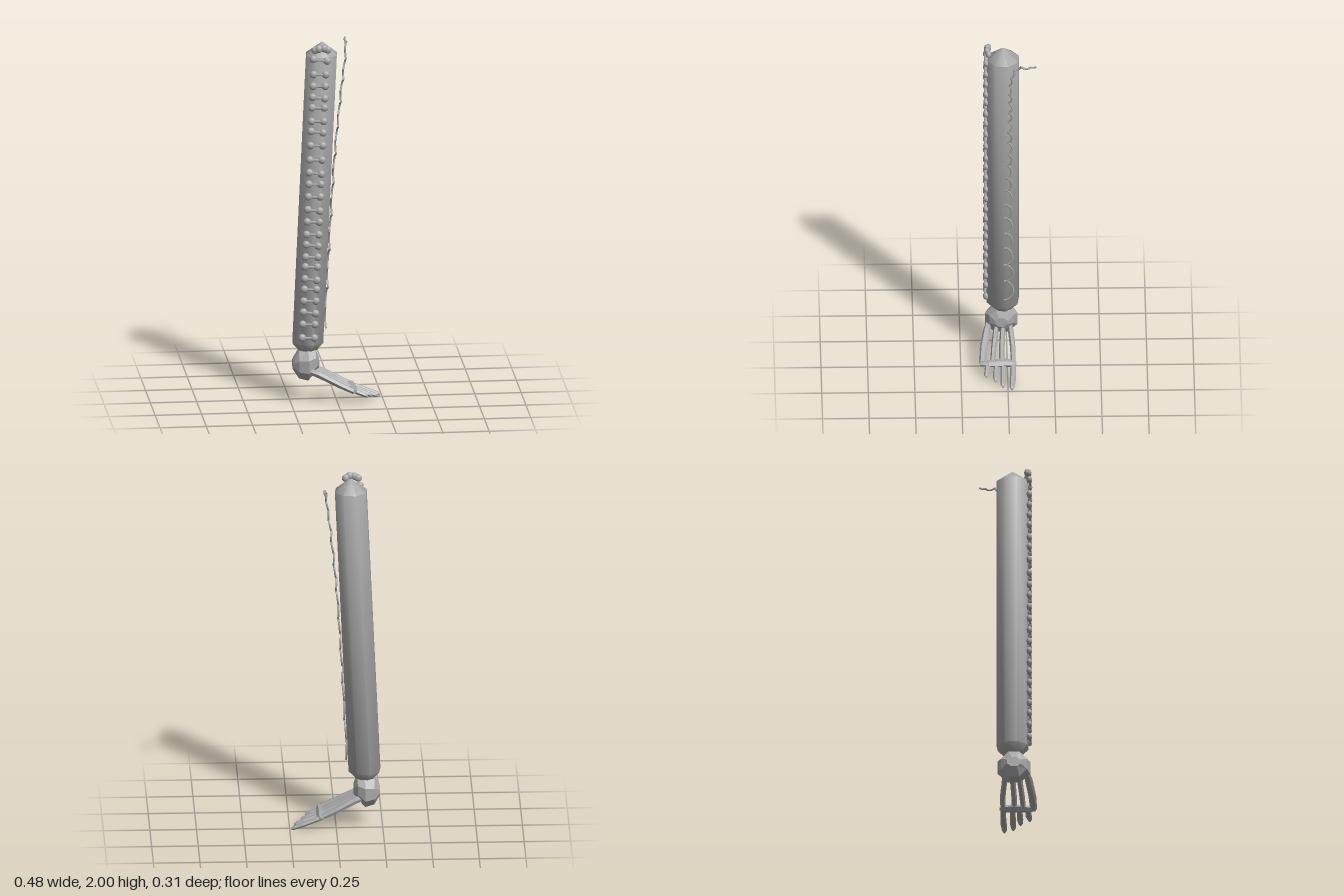
import * as THREE from 'three';
import { toCreasedNormals } from 'three/addons/utils/BufferGeometryUtils.js';

// Closed body lofted along x; each section is [x, y, z, halfHeight, halfWidth]
function loft(sections, sides = 6) {
  const first = sections[0], last = sections[sections.length - 1];
  const rows = [[...first.slice(0, 3), 0, 0], ...sections, [...last.slice(0, 3), 0, 0]];
  const pos = [], idx = [];
  rows.forEach(([x, y, z, h, w], i) => {
    for (let j = 0; j < sides; j++) {
      const a = ((j + 0.5) / sides) * Math.PI * 2;
      pos.push(x, y + Math.cos(a) * h, z + Math.sin(a) * w);
      if (i === rows.length - 1) continue;
      const p = i * sides + j, q = i * sides + (j + 1) % sides;
      idx.push(p, q, p + sides, q, q + sides, p + sides);
    }
  });
  const geo = new THREE.BufferGeometry();
  geo.setAttribute('position', new THREE.Float32BufferAttribute(pos, 3));
  geo.setIndex(idx);
  const flat = geo.toNonIndexed();
  flat.computeVertexNormals();
  return flat;
}

export function createModel() {
  const model = new THREE.Group();
  model.name = 'clawedLeg';
  const grey = new THREE.MeshStandardMaterial({ color: 0xa8a8a8 });
  grey.name = 'grey';
  const add = (name, geo, parent = model) => {
    const mesh = new THREE.Mesh(geo, grey);
    mesh.name = name;
    parent.add(mesh);
    return mesh;
  };
  const axisX = (y) => -0.153 + (y - 0.33) * 0.046;

  // Leaning eight-sided shaft with a pointed top
  const profile = [[0, 0.28], [0.05, 0.285], [0.09, 0.33], [0.09, 1.93], [0, 2]]
    .map(([r, y]) => new THREE.Vector2(r, y));
  const shaft = new THREE.LatheGeometry(profile, 8, 16 * Math.PI / 180);
  const p = shaft.attributes.position;
  for (let i = 0; i < p.count; i++) {
    p.setXYZ(i, p.getX(i) + axisX(p.getY(i)), p.getY(i), p.getZ(i) + 0.022);
  }
  add('shaft', toCreasedNormals(shaft, 1.0));

  // Ankle
  add('ankle', loft([
    [-0.235, 0.21, 0.03, 0.03, 0.04], [-0.205, 0.21, 0.03, 0.08, 0.075],
    [-0.155, 0.21, 0.03, 0.093, 0.095], [-0.115, 0.23, 0.03, 0.065, 0.07],
    [-0.095, 0.22, 0.03, 0.03, 0.035],
  ], 8));

  // Foot bones and toes: [ankle z, mid z, knuckle z, toe z, tip z, tip x]
  const foot = new THREE.Group();
  foot.name = 'foot';
  model.add(foot);
  [
    [-0.015, -0.03, -0.03, -0.03, -0.022, 0.24],
    [0.02, 0.03, 0.032, 0.022, 0.026, 0.225],
    [0.055, 0.073, 0.08, 0.06, 0.065, 0.19],
    [0.1, 0.128, 0.135, 0.105, 0.114, 0.163],
  ].forEach(([z0, z1, z2, z3, z4, tip], i) => {
    const w = i === 3 ? 0.021 : 0.015;
    add('footBone', loft([
      [-0.15, 0.185, z0, 0.02, 0.014], [-0.1, 0.167, z0 + (z1 - z0) * 0.3, 0.022, w],
      [0, 0.116, z1, 0.019, w], [0.08, 0.077, z2, 0.016, w * 0.9],
    ]), foot);
    const yAt = (x) => 0.074 - (x - 0.08) * 0.39;
    const mid = 0.08 + (tip - 0.08) * 0.65;
    add('toe', loft([
      [0.075, yAt(0.075), z3, 0.014, 0.014], [mid, yAt(mid), (z3 + z4) / 2, 0.014, 0.017],
      [tip - 0.012, yAt(tip - 0.012), z4, 0.012, 0.013],
      [tip, yAt(tip), z4, 0.006, 0.006],
    ]), foot);
  });

  // Knuckle bar running across the foot
  const bar = add('knuckleBar', loft([
    [-0.048, 0, 0, 0.007, 0.01], [-0.025, 0, -0.002, 0.018, 0.022],
    [0.03, 0, 0.003, 0.021, 0.03], [0.1, 0, -0.004, 0.018, 0.022],
    [0.145, 0, -0.004, 0.012, 0.014],
  ]), foot);
  bar.position.set(0.08, 0.077, 0);
  bar.rotation.y = -Math.PI / 2;

  // Paired studs joined by small rods up the front
  const ball = new THREE.SphereGeometry(0.021, 10, 8);
  const rod = new THREE.CylinderGeometry(0.007, 0.007, 1, 6).rotateZ(Math.PI / 2);
  const studs = (x, y, z, half, tilt) => {
    const pair = new THREE.Group();
    pair.name = 'studPair';
    pair.position.set(x, y, z);
    pair.rotation.z = tilt;
    for (const s of [-1, 1]) {
      const stud = add('stud', ball, pair);
      stud.position.x = s * half;
      stud.scale.z = 0.75;
    }
    const link = add('studRod', rod, pair);
    link.scale.x = half * 2;
    link.position.z = 0.004;
    model.add(pair);
  };
  [1.92, 1.84, 1.775, 1.71, 1.655, 1.58, 1.52, 1.445, 1.365, 1.29, 1.23, 1.16, 1.085, 1.02,
    0.95, 0.89, 0.825, 0.77, 0.7, 0.645, 0.58, 0.515, 0.45, 0.375].forEach((y, i) => {
    studs(-0.16 + (y - 0.375) * 0.042, y, 0.113, i ? 0.033 : 0.037, i % 3 ? -0.04 : -0.15);
  });
  studs(-0.088, 1.973, 0.1, 0.033, 0);
  studs(-0.088, 1.982, 0.108, 0.014, 0.1);

  // Curling tendril that climbs the side and hooks backwards at the top
  const spine = new THREE.CatmullRomCurve3([
    [-0.058, 0.4, -0.008], [-0.03, 0.95, -0.006], [0, 1.4, -0.012], [0.034, 1.74, -0.016],
    [0.05, 1.87, -0.02], [0.057, 1.935, -0.04], [0.061, 1.965, -0.08],
    [0.064, 1.957, -0.115], [0.066, 1.972, -0.15],
  ].map((v) => new THREE.Vector3(...v)));
  const points = [];
  let phase = 0;
  for (let i = 0; i <= 420; i++) {
    const t = i / 420, c = spine.getPointAt(t);
    const size = THREE.MathUtils.lerp(0.026, 0.006, Math.min(1, t * 1.15));
    phase += (2 * Math.PI * 1.75 / 420) / THREE.MathUtils.lerp(0.125, 0.05, t);
    points.push(new THREE.Vector3(
      c.x + 0.004 * Math.cos(phase * 0.5),
      c.y - size * 0.9 * Math.sin(phase),
      c.z + size * Math.cos(phase),
    ));
  }
  add('tendril', new THREE.TubeGeometry(new THREE.CatmullRomCurve3(points), 900, 0.0055, 5));

  return model;
}
